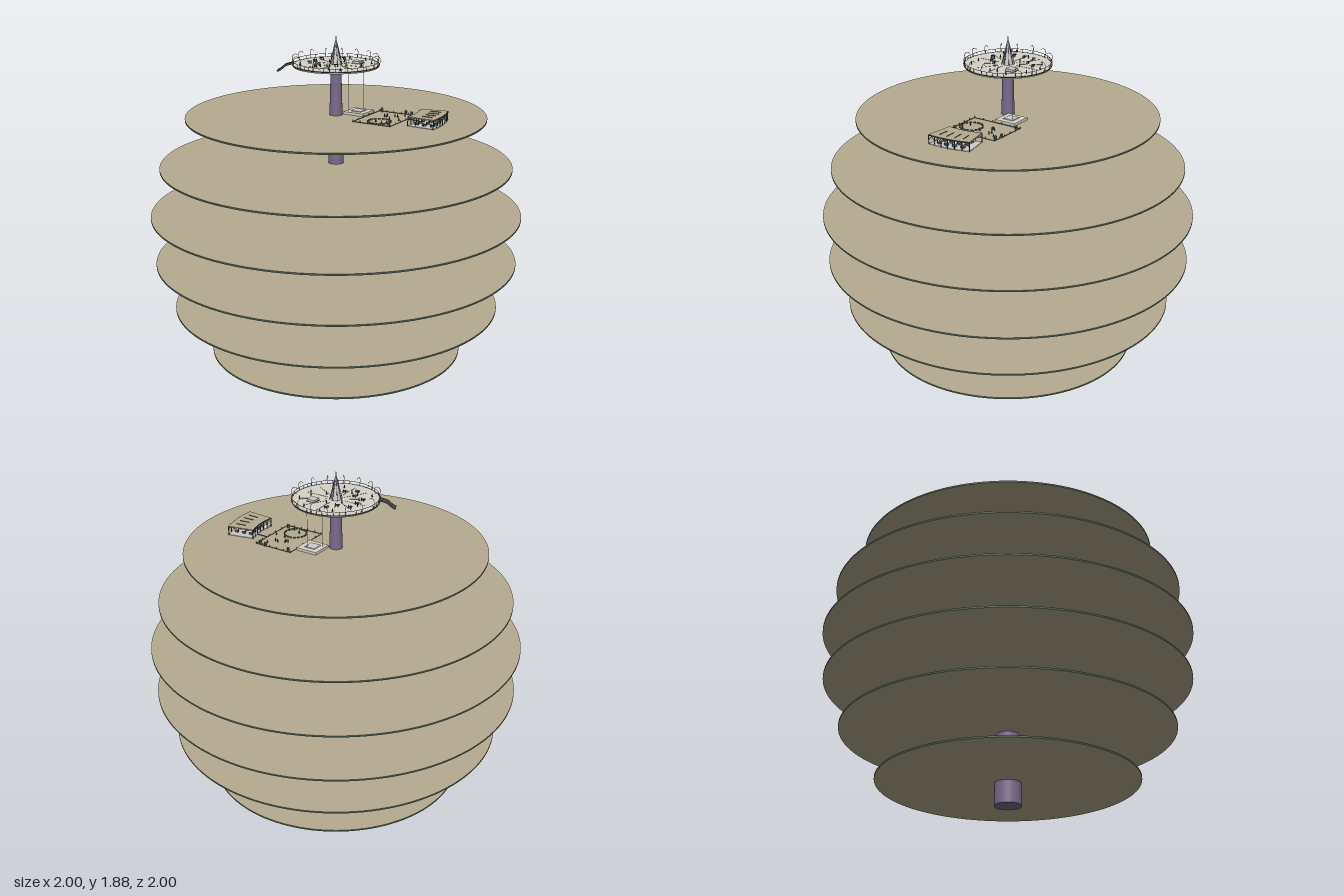
import * as THREE from 'three';

const mat = (color, flatShading = false) =>
  new THREE.MeshStandardMaterial({ color, flatShading, side: THREE.DoubleSide });
const TAN = mat(0xb5ab90), RIM = mat(0x48604f), PURPLE = mat(0x7a6a8c), PALE = mat(0xd8d2c6);
const DARK = mat(0x3f4a48), GREEN = mat(0x44705f), GREY = mat(0xcccccc), WOOD = mat(0x7c6a55);

export function createModel() {
  const root = new THREE.Group();
  const add = (parent, name, geo, material, x = 0, y = 0, z = 0) => {
    const m = new THREE.Mesh(geo, material);
    m.name = name;
    m.position.set(x, y, z);
    parent.add(m);
    return m;
  };
  const group = (name, y = 0) => {
    const g = new THREE.Group();
    g.name = name;
    g.position.y = y;
    root.add(g);
    return g;
  };
  const box = (w, h, d) => new THREE.BoxGeometry(w, h, d);
  const cyl = (rt, rb, h, n = 8) => new THREE.CylinderGeometry(rt, rb, h, n);
  // thin bar between two points
  const bar = (parent, name, a, b, r, material) => {
    const p = new THREE.Vector3(...a), q = new THREE.Vector3(...b);
    const m = add(parent, name, cyl(r, r, p.distanceTo(q), 6), material);
    m.position.copy(p).lerp(q, 0.5);
    m.quaternion.setFromUnitVectors(new THREE.Vector3(0, 1, 0), q.sub(p).normalize());
    return m;
  };
  let seed = 7;
  const rnd = () => (seed = (seed * 16807) % 2147483647) / 2147483647;
  // small standing figure
  const figure = (parent, x, z, y = 0) => {
    add(parent, 'figureBody', cyl(0.0025, 0.0035, 0.013, 6), rnd() > 0.5 ? DARK : GREEN, x, y + 0.0065, z);
    add(parent, 'figureHead', new THREE.SphereGeometry(0.0025, 6, 5), WOOD, x, y + 0.0155, z);
  };

  // Stacked floor discs
  const floors = [[0.125, 0.69], [0.39, 0.887], [0.652, 0.982], [0.917, 1], [1.181, 0.943], [1.445, 0.8]];
  floors.forEach(([y, r], i) =>
    add(root, 'floorDisc' + (i + 1), cyl(r, r, 0.009, 128), [RIM, TAN, TAN], 0, y, 0));

  // Tapered central column and spire
  add(root, 'column', cyl(0.028, 0.073, 1.71, 32), PURPLE, 0, 0.855, 0);
  const spire = group('spire', 1.71);
  add(spire, 'spireCone', new THREE.LatheGeometry(
    [[0.028, 0], [0.022, 0.03], [0.013, 0.08], [0.005, 0.125], [0.0005, 0.165]].map(p => new THREE.Vector2(...p)), 16), GREY);
  for (let i = 0; i < 8; i++) {
    const a = i * Math.PI / 4, c = Math.cos(a), s = Math.sin(a);
    bar(spire, 'spireRib', [0.034 * c, 0.008, 0.034 * s], [0.005 * c, 0.125, 0.005 * s], 0.0015, PURPLE);
  }

  // Round upper deck with rails and hooked lamp posts
  const deck = group('upperDeck', 1.715);
  add(deck, 'deckPlate', cyl(0.23, 0.226, 0.01, 64), PALE);
  const ring = (name, r, y, t) =>
    add(deck, name, new THREE.TorusGeometry(r, t, 6, 64), DARK, 0, y, 0).rotateX(Math.PI / 2);
  ring('deckEdge', 0.229, 0.004, 0.0025);
  ring('handRail', 0.226, 0.022, 0.0012);
  const hook = new THREE.TubeGeometry(new THREE.CatmullRomCurve3(
    [[0.227, 0, 0], [0.234, 0.025, 0], [0.23, 0.045, 0], [0.215, 0.054, 0], [0.203, 0.048, 0]]
      .map(p => new THREE.Vector3(...p))), 12, 0.0015, 5);
  for (let i = 0; i < 48; i++) {
    const a = i * Math.PI / 24;
    add(deck, 'railPost', cyl(0.001, 0.001, 0.02, 5), DARK, 0.226 * Math.cos(a), 0.013, 0.226 * Math.sin(a));
    if (i % 3 === 0) add(deck, 'lampHook', hook, GREY).rotation.y = a;
    if (i % 4 === 0) add(deck, 'floorSeam', box(0.13, 0.001, 0.0012), WOOD,
      0.115 * Math.cos(a), 0.0055, 0.115 * Math.sin(a)).rotation.y = -a;
  }
  // Tables, planters and visitors on the deck
  for (let i = 0; i < 9; i++) {
    const a = 1.1 + i * 0.42, r = 0.07 + 0.1 * rnd(), x = r * Math.cos(a), z = r * Math.sin(a);
    add(deck, 'tableTop', cyl(0.01, 0.01, 0.002, 10), i % 2 ? GREEN : DARK, x, 0.016, z);
    add(deck, 'tableLeg', cyl(0.002, 0.003, 0.012, 6), DARK, x, 0.01, z);
    figure(deck, x + 0.014, z, 0.005);
  }
  for (let i = 0; i < 16; i++) {
    const a = i * 2.4, r = 0.06 + 0.14 * rnd();
    figure(deck, r * Math.cos(a), r * Math.sin(a), 0.005);
  }
  // Sloping chute at the deck edge
  const chute = group('chute');
  const chutePath = new THREE.CatmullRomCurve3([[-0.195, 1.722, 0.105], [-0.23, 1.712, 0.122],
    [-0.255, 1.69, 0.134], [-0.272, 1.68, 0.142]].map(p => new THREE.Vector3(...p)));
  for (let i = 0; i < 8; i++) {
    const p = chutePath.getPoint(i / 8), q = chutePath.getPoint((i + 1) / 8);
    const m = add(chute, 'chutePanel', box(0.03, 0.003, p.distanceTo(q) + 0.002), PALE);
    m.position.copy(p).lerp(q, 0.5);
    m.lookAt(q);
    for (const s of [-1, 1]) add(m, 'chuteSide', box(0.002, 0.01, p.distanceTo(q) + 0.002), DARK, s * 0.015, 0.004, 0);
  }

  // Lift: base platform, cables and upper cabin
  const lift = group('lift', 1.45);
  add(lift, 'liftBase', box(0.12, 0.014, 0.12), PALE, 0.09, 0.007, -0.085);
  add(lift, 'liftPad', box(0.06, 0.004, 0.06), GREY, 0.09, 0.016, -0.085);
  for (const [x, z] of [[0.043, -0.06], [0.108, -0.108]])
    bar(lift, 'liftCable', [x, 0.01, z], [x, 0.265, z], 0.0012, GREY);
  add(lift, 'liftCabin', box(0.046, 0.012, 0.046), GREY, 0.085, 0.277, -0.085);
  add(lift, 'liftHatch', box(0.05, 0.002, 0.05), DARK, 0.085, 0.271, -0.085);

  // Courtyard with kerbs, fence posts, round seating and visitors
  const yard = group('courtyard', 1.449);
  const corners = [[0.16, -0.19], [0.38, -0.19], [0.38, 0.1], [0.16, 0.1]];
  corners.forEach(([x, z], i) => {
    const [u, w] = corners[(i + 1) % 4];
    bar(yard, 'kerb', [x, 0.002, z], [u, 0.002, w], 0.0015, DARK);
    for (let k = 0; k < 5; k++)
      add(yard, 'fencePost', cyl(0.0015, 0.0015, 0.012, 5), DARK, x + (u - x) * k / 5, 0.006, z + (w - z) * k / 5);
  });
  bar(yard, 'path', [0.38, 0.002, -0.09], [0.45, 0.002, -0.09], 0.002, DARK);
  for (let i = 0; i < 18; i++) {
    const a = i * Math.PI / 9;
    add(yard, 'seat', box(0.006, 0.007, 0.012), i % 2 ? GREEN : WOOD,
      0.28 + 0.06 * Math.cos(a), 0.0035, 0.03 + 0.06 * Math.sin(a)).rotation.y = -a;
  }
  for (const [x, z] of [[0.18, -0.18], [0.32, -0.19], [0.36, -0.18], [0.36, 0.075]]) {
    add(yard, 'planter', cyl(0.008, 0.006, 0.01, 8), WOOD, x, 0.005, z);
    add(yard, 'shrub', new THREE.IcosahedronGeometry(0.009, 0), GREEN, x, 0.016, z);
  }
  for (let i = 0; i < 12; i++) figure(yard, 0.18 + 0.19 * rnd(), -0.17 + 0.25 * rnd());

  // Fan-shaped pavilion: roof on arched frames
  const hall = group('pavilion', 1.449);
  const inner = t => [0.43 + 0.02 * t + 0.012 * Math.sin(Math.PI * t), -0.15 + 0.19 * t];
  const outer = t => [0.57 + 0.03 * t + 0.012 * Math.sin(Math.PI * t), -0.18 + 0.23 * t];
  const plan = new THREE.Shape();
  for (let i = 0; i <= 10; i++) plan[i ? 'lineTo' : 'moveTo'](...inner(i / 10));
  for (let i = 10; i >= 0; i--) plan.lineTo(...outer(i / 10));
  const slab = (name, depth, y, material) =>
    add(hall, name, new THREE.ExtrudeGeometry(plan, { depth, bevelEnabled: false }).rotateX(Math.PI / 2), material, 0, y, 0);
  slab('pavilionFloor', 0.003, 0.004, GREY);
  slab('pavilionRoof', 0.006, 0.051, TAN);
  for (const side of [inner, outer]) {
    for (let i = 0; i <= 6; i++) {
      const [x, z] = side(i / 6);
      bar(hall, 'pavilionPost', [x, 0, z], [x, 0.047, z], 0.0025, DARK);
      if (i === 6) continue;
      const [u, w] = side((i + 1) / 6), mx = (x + u) / 2, mz = (z + w) / 2;
      bar(hall, 'brace', [x, 0.022, z], [mx, 0.045, mz], 0.0018, TAN);
      bar(hall, 'brace', [mx, 0.045, mz], [u, 0.022, w], 0.0018, TAN);
      bar(hall, 'eaveBeam', [x, 0.048, z], [u, 0.048, w], 0.0035, DARK);
    }
  }
  for (let i = 1; i < 5; i++) {
    const [x, z] = inner(i / 5), [u, w] = outer(i / 5);
    const at = (k, y) => [x + (u - x) * k, y, z + (w - z) * k];
    bar(hall, 'skylight', at(0.4, 0.052), at(0.8, 0.052), 0.002, GREEN);
    for (const k of [0.2, 0.5, 0.8]) {
      const p = at(k, 0.01);
      add(hall, 'bench', box(0.02, 0.01, 0.01), i % 2 ? WOOD : GREEN, p[0], 0.009, p[2]);
      figure(hall, p[0], p[2] + 0.014, 0.004);
    }
  }
  return root;
}
